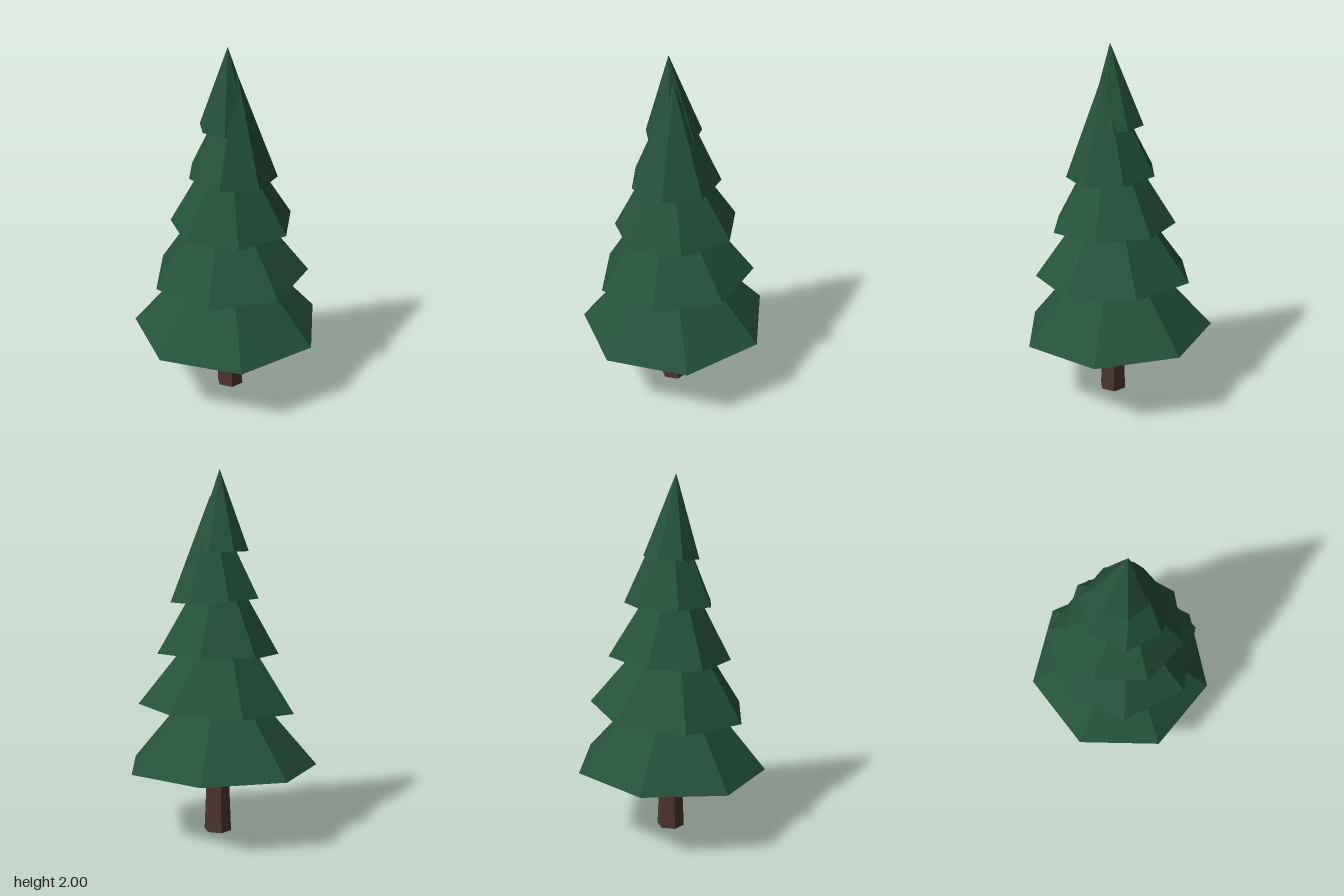
import * as THREE from 'three';

const green = new THREE.MeshStandardMaterial({ color: 0x25523b });
green.name = 'pine green';
const brown = new THREE.MeshStandardMaterial({ color: 0x4e352e });
brown.name = 'bark brown';

// Each tier: base centre, radius, height, turn in degrees, slope of the base along x and z
const tiers = [
  { at: [-0.003, 0.379, -0.028], r: 0.534, h: 0.62, turn: -0.8, slope: [0.0145, -0.045] },
  { at: [0.008, 0.711, -0.02], r: 0.438, h: 0.6, turn: 27.2, slope: [0.055, -0.047] },
  { at: [0.02, 1.013, -0.013], r: 0.343, h: 0.58, turn: -3.3, slope: [0.04, -0.05] },
  { at: [0.017, 1.3, -0.007], r: 0.247, h: 0.56, turn: 27, slope: [-0.04, -0.065] },
  { at: [-0.007, 1.561, -0.017], r: 0.153, h: 0.44, turn: -13.5, slope: [0.005, -0.075] },
];

// Low-poly geometry: unshared corners with face normals
function faceted(geometry) {
  const flat = geometry.toNonIndexed();
  flat.computeVertexNormals();
  return flat;
}

// Seven-sided cone standing on its base centre, leaning square to its sloped base
function makeTier({ at, r, h, turn, slope }) {
  const cone = new THREE.ConeGeometry(r, h, 7, 1, false, THREE.MathUtils.degToRad(turn));
  cone.translate(0, h / 2, 0);
  const mesh = new THREE.Mesh(faceted(cone), green);
  const axis = new THREE.Vector3(-slope[0], 1, -slope[1]).normalize();
  mesh.quaternion.setFromUnitVectors(new THREE.Vector3(0, 1, 0), axis);
  mesh.position.set(...at);
  return mesh;
}

export function createModel() {
  const tree = new THREE.Group();
  tree.name = 'pineTree';

  // Tapered six-sided trunk, running up inside the lowest tier
  const trunk = new THREE.Mesh(faceted(new THREE.CylinderGeometry(0.052, 0.077, 0.6, 6)), brown);
  trunk.name = 'trunk';
  trunk.position.set(0.008, 0.3, -0.01);
  tree.add(trunk);

  // Overlapping branch tiers from bottom to top
  tiers.forEach((tier, i) => {
    const mesh = makeTier(tier);
    mesh.name = `branchTier${i + 1}`;
    tree.add(mesh);
  });

  green.flatShading = brown.flatShading = true;
  return tree;
}
